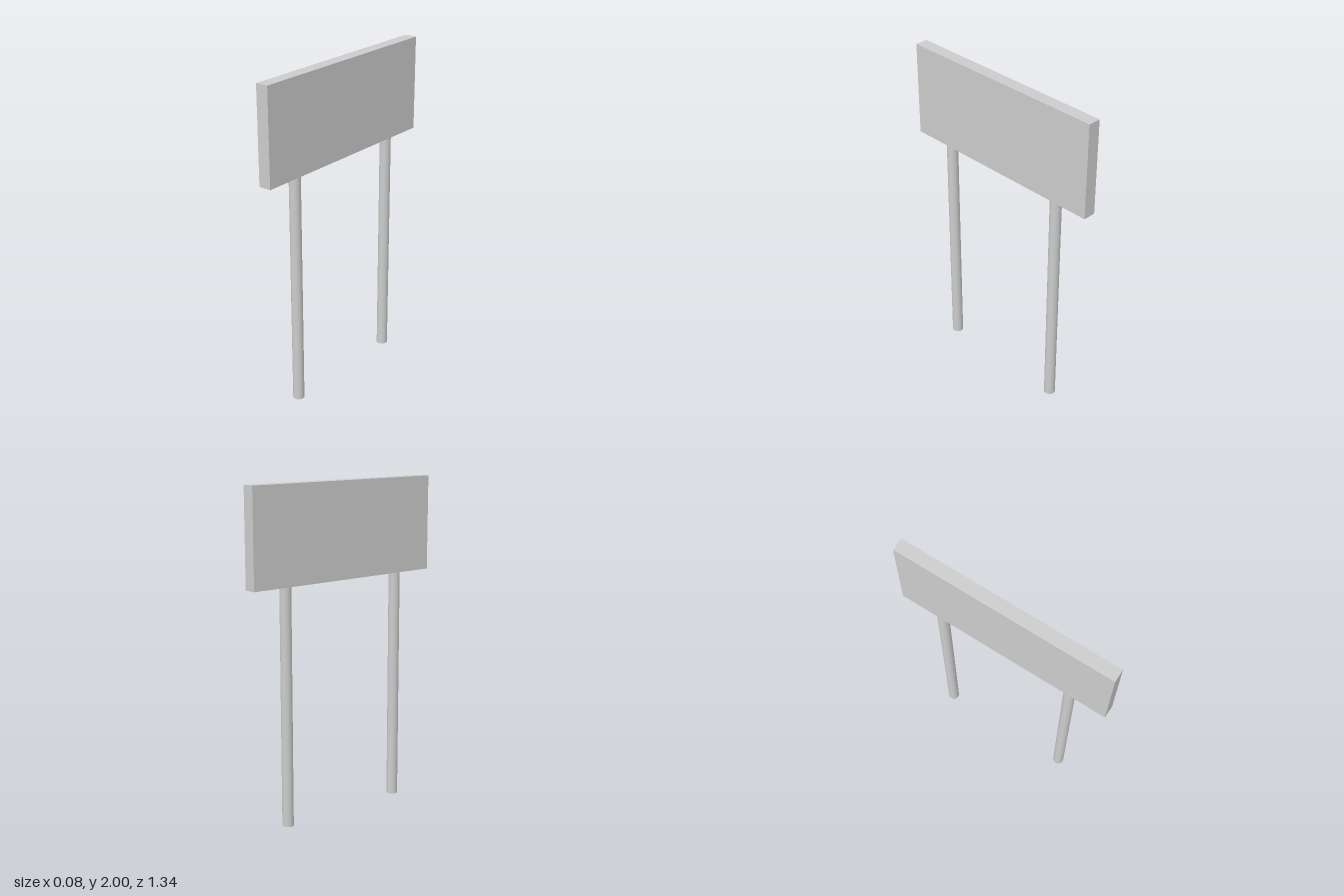
import * as THREE from 'three';

export function createModel() {
  const group = new THREE.Group();
  const postTop = 1.425;
  const height = 2;

  // Flat board, facing sideways along x
  const boardHeight = height - postTop;
  const board = new THREE.Mesh(
    new THREE.BoxGeometry(0.077, boardHeight, 1.34),
    new THREE.MeshStandardMaterial({ color: 0xcccccc })
  );
  board.name = 'board';
  board.position.y = postTop + boardHeight / 2;
  group.add(board);

  // Two round posts, hollow and open at the ends
  const postGeometry = new THREE.CylinderGeometry(0.034, 0.034, postTop, 24, 1, true);
  const postMaterial = new THREE.MeshStandardMaterial({ color: 0xcccccc, side: THREE.DoubleSide });
  for (const [name, side] of [['frontPost', 1], ['backPost', -1]]) {
    const post = new THREE.Mesh(postGeometry, postMaterial);
    post.name = name;
    post.position.set(0, postTop / 2, side * 0.424);
    group.add(post);
  }

  return group;
}
